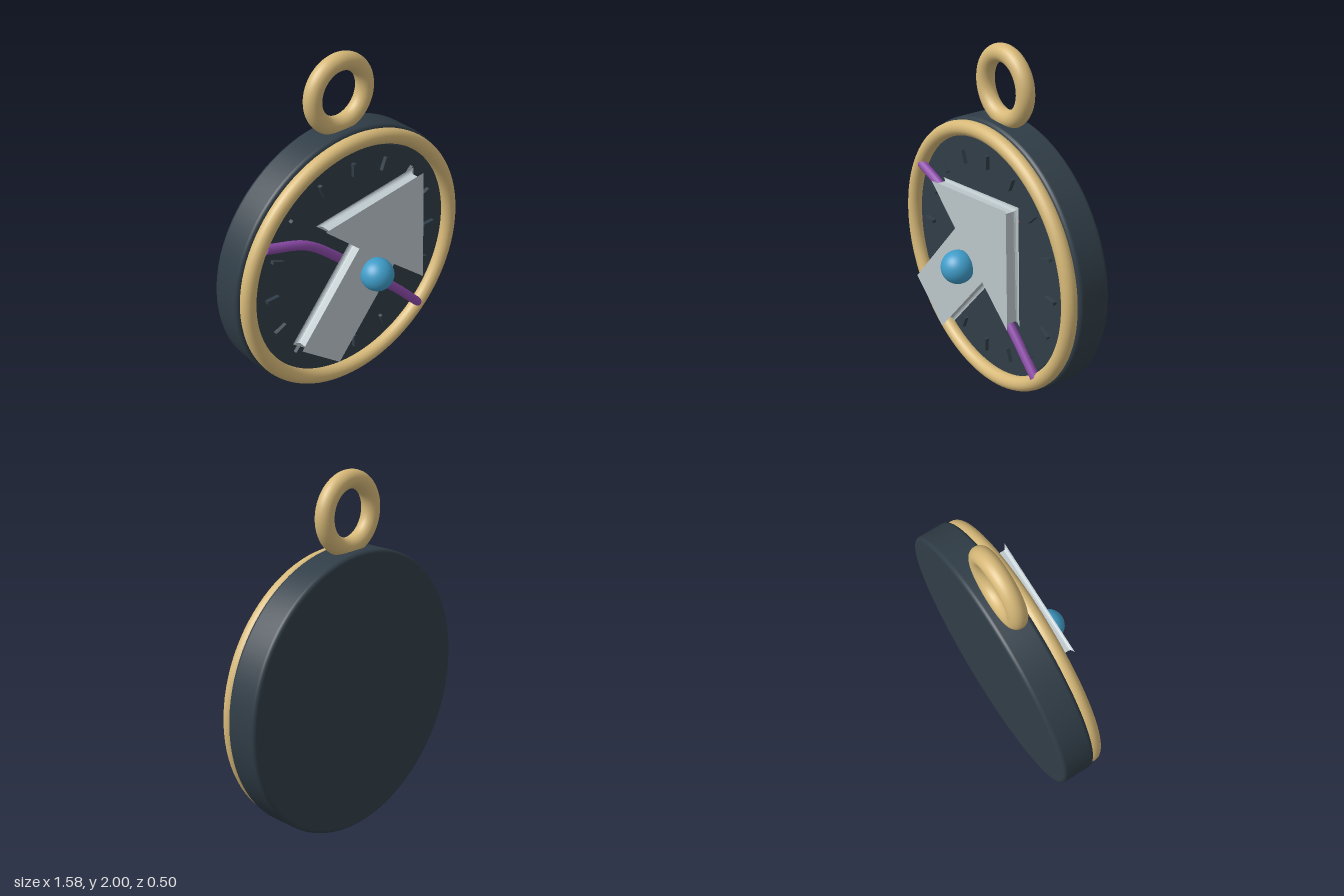
import * as THREE from 'three';

const CY = 0.795; // height of the dial centre

function material(name, color) {
  const m = new THREE.MeshStandardMaterial({ color });
  m.name = name;
  return m;
}

export function createModel() {
  const slate = material('slate', 0x303d47);
  const gold = material('gold', 0xd6b878);
  const silver = material('silver', 0xbcc7cb);
  const purple = material('purple', 0x8e4bab);
  const red = material('red', 0xd63c38);
  const blue = material('blue', 0x3f9cc8);

  const model = new THREE.Group();
  model.name = 'compass';
  const add = (name, geometry, mat, x, y, z) => {
    const mesh = new THREE.Mesh(geometry, mat);
    mesh.name = name;
    mesh.position.set(x, y, z);
    model.add(mesh);
    return mesh;
  };

  // Round case with softened edges, turned so its axis runs along z
  const R = 0.79, back = -0.25, front = -0.055, r = 0.024;
  const profile = [new THREE.Vector2(0, back), new THREE.Vector2(R - r - 0.01, back)];
  for (const [zc, start] of [[back + r, -Math.PI / 2], [front - r, 0]]) {
    for (let i = 0; i <= 6; i++) {
      const a = start + (i / 6) * Math.PI / 2;
      profile.push(new THREE.Vector2(R - r + r * Math.cos(a), zc + r * Math.sin(a)));
    }
  }
  profile.push(new THREE.Vector2(R - r - 0.01, front), new THREE.Vector2(0, front));
  add('case', new THREE.LatheGeometry(profile, 96).rotateX(Math.PI / 2), slate, 0, CY, 0);

  // Dial plate and gold bezel
  add('dial', new THREE.CylinderGeometry(0.68, 0.68, 0.02, 96).rotateX(Math.PI / 2), slate, 0, CY, -0.055);
  add('bezel', new THREE.TorusGeometry(0.735, 0.043, 20, 96), gold, 0, CY, -0.03);

  // Hanging ring
  add('hangingRing', new THREE.TorusGeometry(0.177, 0.05, 24, 64), gold, 0, 1.774, -0.15);

  // Sixteen tick marks
  for (let i = 0; i < 16; i++) {
    const a = (i / 16) * Math.PI * 2;
    const tick = add('tick', new THREE.BoxGeometry(0.018, 0.078, 0.03), slate,
      0.572 * Math.sin(a), CY + 0.572 * Math.cos(a), -0.037);
    tick.rotation.z = -a;
  }

  // Curved purple strand lying across the dial
  const strand = new THREE.CatmullRomCurve3([
    [-0.62, 1.145, -0.012], [-0.36, 1.06, -0.004], [-0.16, 0.905, 0.006],
    [0, 0.75, 0.01], [0.1, 0.655, 0.007], [0.28, 0.49, -0.002], [0.49, 0.275, -0.012],
  ].map(p => new THREE.Vector3(...p)));
  add('strand', new THREE.TubeGeometry(strand, 60, 0.027, 12), purple, 0, 0, 0);
  for (const [t, turn] of [[0, -1], [1, 1]]) {
    const p = strand.getPoint(t);
    const cap = add('strandEnd', new THREE.CircleGeometry(0.027, 12), purple, p.x, p.y, p.z);
    cap.lookAt(p.clone().addScaledVector(strand.getTangent(t), turn));
  }

  // Red needle hidden under the arrow
  const needle = add('needle', new THREE.BoxGeometry(0.05, 0.48, 0.045), red, 0.157, 0.987, 0.012);
  needle.rotation.z = -Math.atan2(0.63, 0.77);

  // Large arrow with hollowed edges
  const arrow = new THREE.Shape([
    [0.375, 1.27], [-0.32, 1.18], [-0.09, 0.98], [-0.5, 0.495],
    [-0.237, 0.28], [0.168, 0.762], [0.4, 0.572],
  ].map(p => new THREE.Vector2(...p)));
  add('arrow', new THREE.ExtrudeGeometry(arrow, {
    depth: 0.04, bevelEnabled: true, bevelThickness: 0.02, bevelSize: -0.024, bevelSegments: 4,
  }), silver, 0, 0, 0.053);

  // Centre knob
  add('knob', new THREE.SphereGeometry(0.094, 32, 24), blue, 0, CY, 0.158);

  return model;
}
